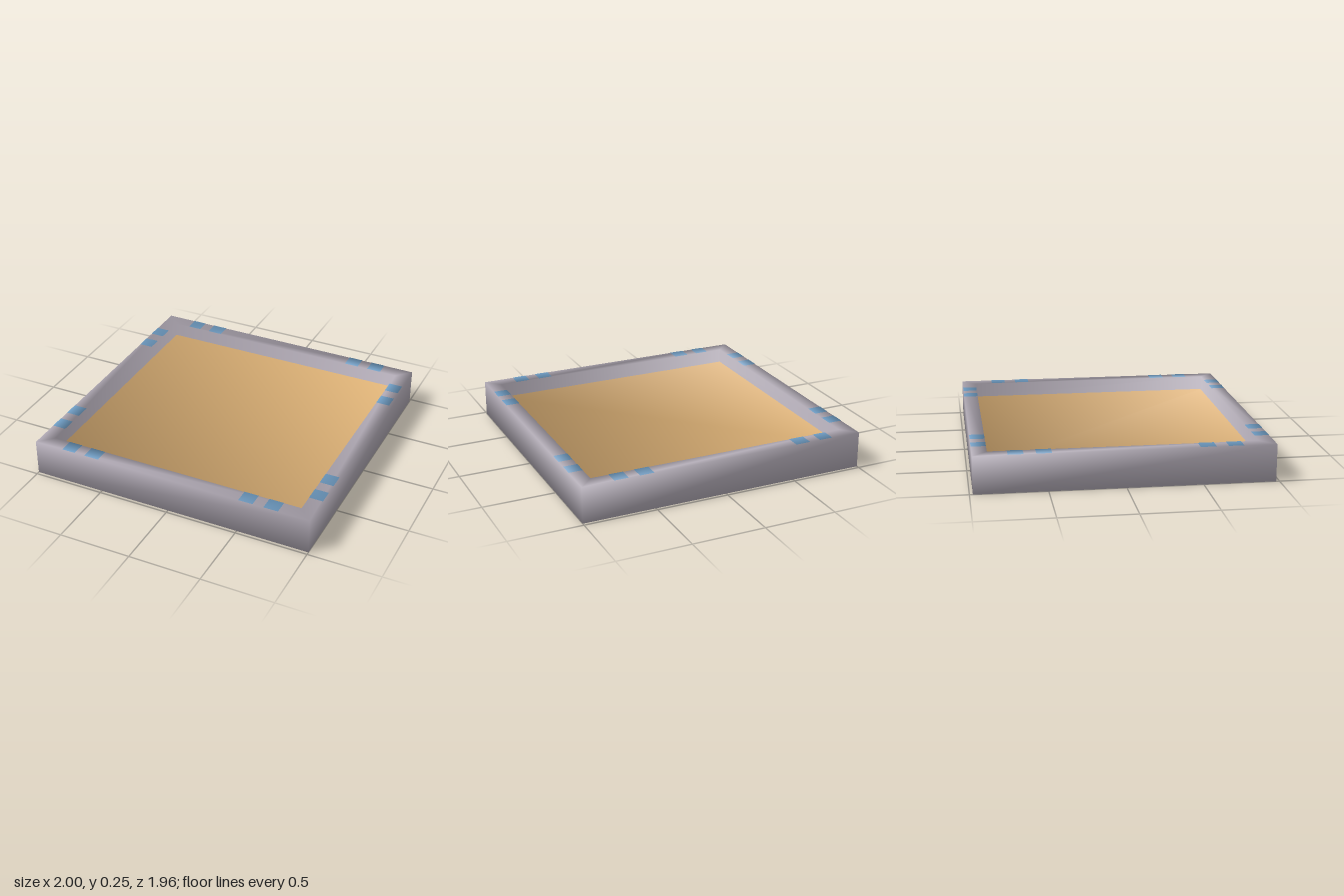
import * as THREE from 'three';

const OUT = { x: 1, z: 0.978 };
const INN = { x: 0.904, z: 0.88 };
const TOP = 0.25, FLOOR = 0.15;

// Corners counter-clockwise seen from above
const CORNERS = [[1, 1], [1, -1], [-1, -1], [-1, 1]];

// One rectangular loop; normals lean outward (+1) or inward (-1) for soft shading
const loop = (size, y, lean, ny) => CORNERS.map(([x, z]) => ({
  p: [x * size.x, y, z * size.z],
  n: new THREE.Vector3(x * lean, ny, z * lean).normalize().toArray(),
}));

// Mesh from a list of four-corner faces
function quadMesh(name, quads, material) {
  const geometry = new THREE.BufferGeometry();
  const verts = quads.flat();
  geometry.setAttribute('position', new THREE.Float32BufferAttribute(verts.flatMap(v => v.p), 3));
  geometry.setAttribute('normal', new THREE.Float32BufferAttribute(verts.flatMap(v => v.n), 3));
  geometry.setIndex(quads.flatMap((q, i) => [0, 1, 2, 0, 2, 3].map(k => i * 4 + k)));
  const mesh = new THREE.Mesh(geometry, material);
  mesh.name = name;
  return mesh;
}

// Faces joining two loops
const band = (a, b) => CORNERS.map((_, k) => {
  const j = (k + 1) % 4;
  return [a[k], a[j], b[j], b[k]];
});

// Thin painted stripe across the rim, from a to b along the given axis
function stripe(axis, side, a, b) {
  const across = axis === 'x' ? 'z' : 'x';
  const vert = (t, size, lean) => {
    const p = { x: 0, y: TOP + 0.002, z: 0 }, n = { x: 0, y: 1, z: 0 };
    p[axis] = t;
    p[across] = side * size[across];
    n[axis] = lean * t / size[axis];
    n[across] = lean * side;
    return { p: [p.x, p.y, p.z], n: new THREE.Vector3(n.x, n.y, n.z).normalize().toArray() };
  };
  const flip = axis === 'x' ? side < 0 : side > 0;
  const [s, e] = flip ? [b, a] : [a, b];
  return [vert(s, OUT, 1), vert(e, OUT, 1), vert(e, INN, -1), vert(s, INN, -1)];
}

export function createModel() {
  const grey = new THREE.MeshStandardMaterial({ color: 0xb0a9b4 });
  grey.name = 'frame grey';
  const sand = new THREE.MeshStandardMaterial({ color: 0xe0b478 });
  sand.name = 'floor sand';
  const blue = new THREE.MeshStandardMaterial({ color: 0x6f9dc4 });
  blue.name = 'stripe blue';

  const group = new THREE.Group();
  group.name = 'tray';

  // Frame: outer walls, rim, inner walls and underside
  const outerBottom = loop(OUT, 0, 1, -1);
  const outerTop = loop(OUT, TOP, 1, 1);
  const innerTop = loop(INN, TOP, -1, 1);
  const innerBottom = loop(INN, FLOOR, -1, 1);
  group.add(quadMesh('frame', [
    ...band(outerBottom, outerTop),
    ...band(outerTop, innerTop),
    ...band(innerTop, innerBottom),
    [...outerBottom].reverse(),
  ], grey));

  // Sunken floor
  group.add(quadMesh('floor', [innerBottom], sand));

  // Pairs of stripes near each corner of the rim
  const spans = {
    x: [[-0.79, -0.695], [-0.62, -0.515], [0.51, 0.61], [0.685, 0.785]],
    z: [[-0.755, -0.655], [-0.575, -0.475], [0.475, 0.58], [0.66, 0.76]],
  };
  const names = { x: { '1': 'front', '-1': 'back' }, z: { '1': 'left', '-1': 'right' } };
  for (const axis of ['x', 'z']) {
    for (const side of [1, -1]) {
      const quads = spans[axis].map(([a, b]) => stripe(axis, side, a, b));
      group.add(quadMesh(names[axis][side] + 'Stripes', quads, blue));
    }
  }
  return group;
}
